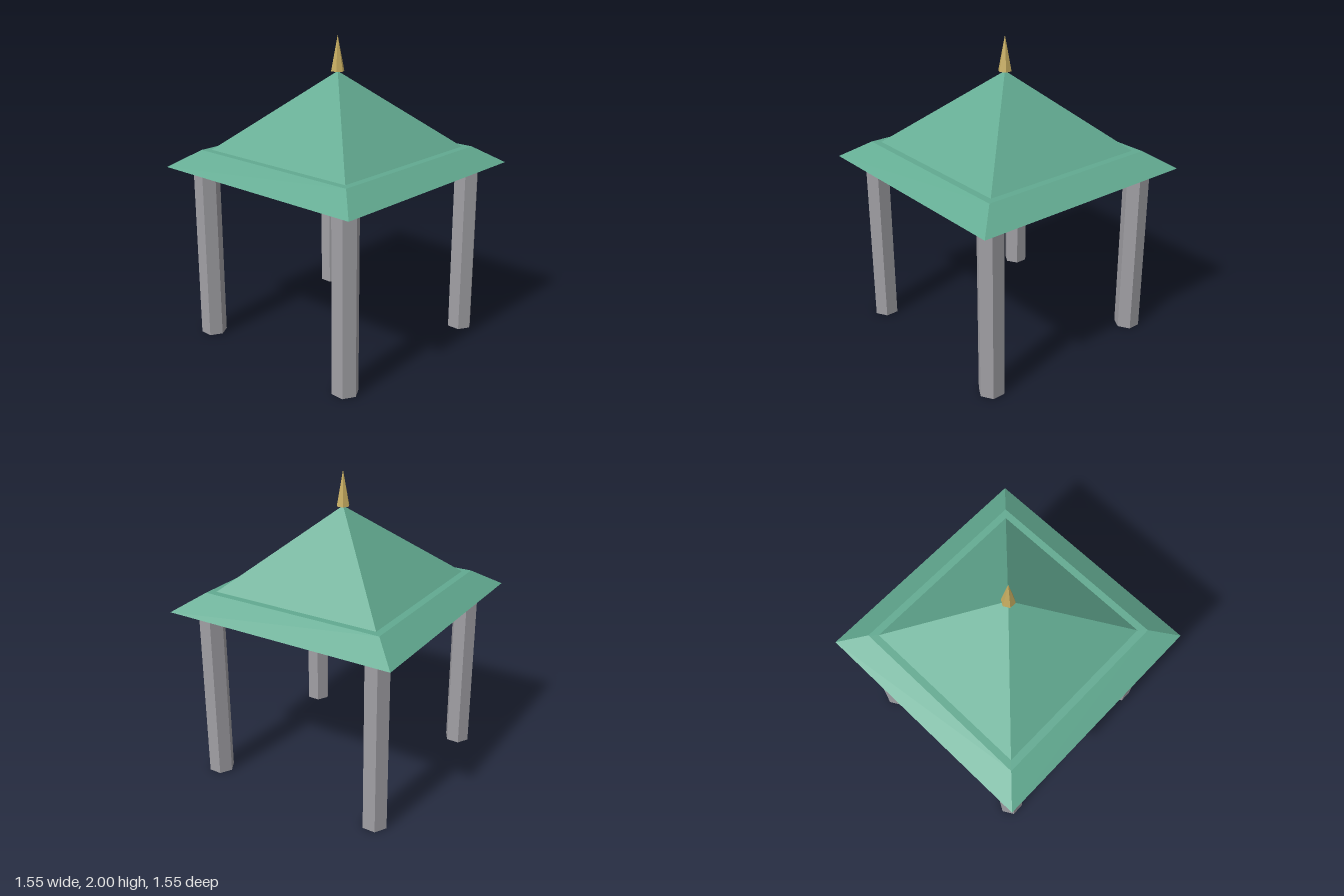
import * as THREE from 'three';

const mat = (name, color) => {
  const m = new THREE.MeshStandardMaterial({ color });
  m.name = name;
  return m;
};

export function createModel() {
  const green = mat('roof green', 0x62aa91);
  const grey = mat('stone grey', 0xa09fa4);
  const gold = mat('finial gold', 0xc6ac60);
  const group = new THREE.Group();
  group.name = 'pavilion';

  // Straight-sided prism, frustum or cone standing between two heights, with faceted normals
  const addPart = (name, material, sides, rBottom, rTop, y0, y1, x = 0, z = 0, open = false) => {
    const geometry = new THREE.CylinderGeometry(rTop, rBottom, y1 - y0, sides, 1, open);
    if (sides === 4) geometry.rotateY(Math.PI / 4);
    const flat = geometry.toNonIndexed();
    flat.computeVertexNormals();
    const mesh = new THREE.Mesh(flat, material);
    mesh.name = name;
    mesh.position.set(x, (y0 + y1) / 2, z);
    group.add(mesh);
  };

  // Four hexagonal columns
  const names = ['Right', 'Left'];
  [-1, 1].forEach((sx, i) => {
    for (const sz of [-1, 1]) {
      addPart((sz > 0 ? 'front' : 'back') + names[i] + 'Column', grey, 6, 0.084, 0.084, 0, 1.165, sx * 0.598, sz * 0.598);
    }
  });

  // Square roof: flared eaves with a flat ledge, then the pyramid
  addPart('eaves', green, 4, 0.777 * Math.SQRT2, 0.617 * Math.SQRT2, 1.165, 1.275);
  addPart('roofPyramid', green, 4, 0.571 * Math.SQRT2, 0, 1.275, 1.775, 0, 0, true);

  // Pointed finial
  addPart('finial', gold, 6, 0.044, 0, 1.775, 2);

  return group;
}
